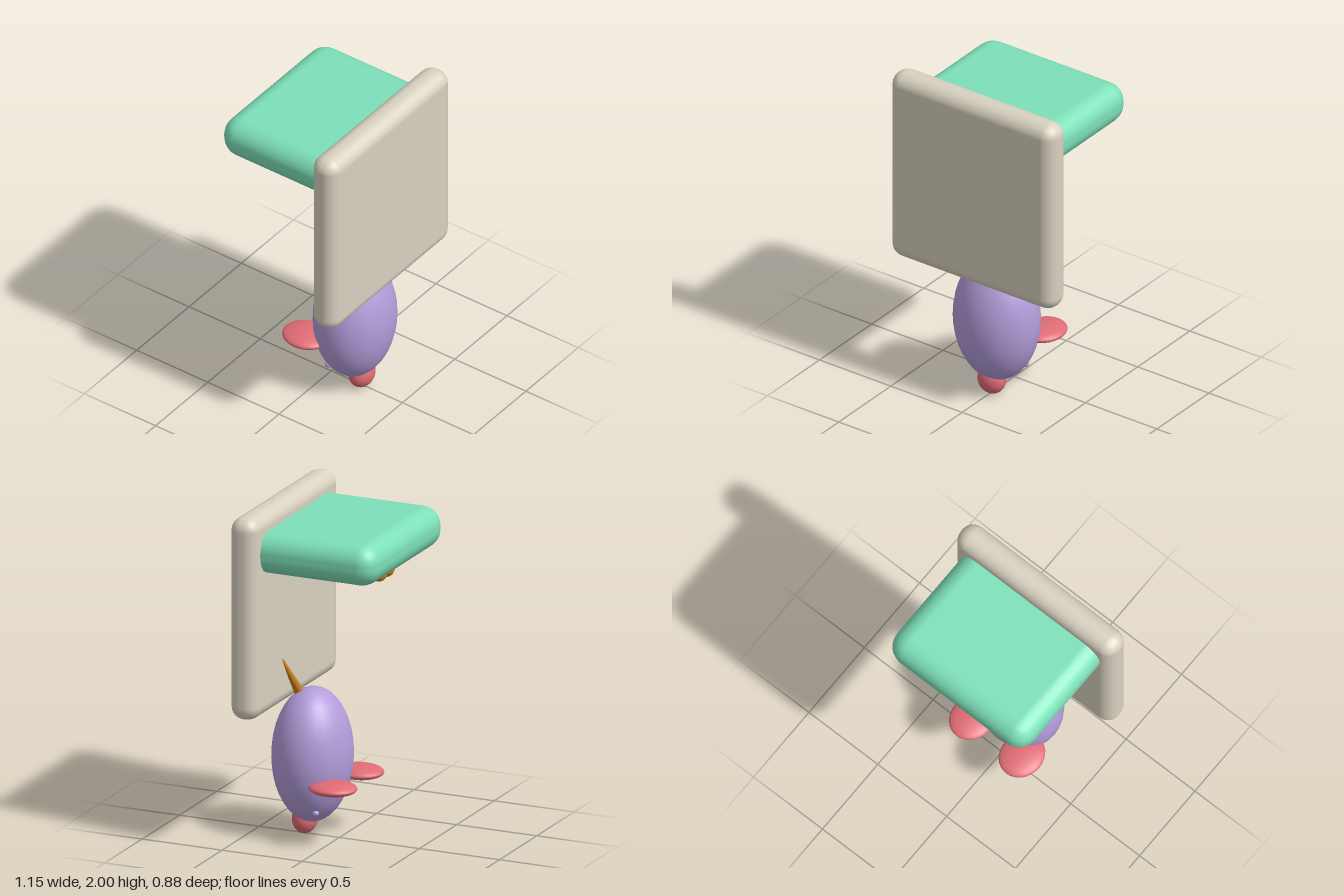
import * as THREE from 'three';
import { RoundedBoxGeometry } from 'three/addons/geometries/RoundedBoxGeometry.js';

function material(name, color) {
  const m = new THREE.MeshStandardMaterial({ color });
  m.name = name;
  return m;
}

export function createModel() {
  const model = new THREE.Group();
  model.name = 'model';

  const cream = material('cream', 0xd9d2c1);
  const mint = material('mint green', 0x7de0b9);
  const lilac = material('lilac', 0xb39ddb);
  const pink = material('pink', 0xe06c75);
  const orange = material('orange', 0xd08420);

  function add(name, geometry, mat, x, y, z) {
    const mesh = new THREE.Mesh(geometry, mat);
    mesh.name = name;
    mesh.position.set(x, y, z);
    model.add(mesh);
    return mesh;
  }

  function ellipsoid(name, mat, [x, y, z], [rx, ry, rz]) {
    const geometry = new THREE.SphereGeometry(1, 32, 20).scale(rx, ry, rz);
    return add(name, geometry, mat, x, y, z);
  }

  // Upright panel and the cushion set into its back
  add('panel', new RoundedBoxGeometry(1.15, 1.2, 0.175, 3, 0.08), cream, 0, 1.4, 0.348);
  add('cushion', new RoundedBoxGeometry(1, 0.245, 0.83, 3, 0.112), mint, 0, 1.778, -0.025);

  // Hanging mouse: body, nose, ears and eyes
  ellipsoid('body', lilac, [0, 0.479, 0.167], [0.261, 0.396, 0.229]);
  ellipsoid('nose', pink, [0, 0.095, 0.215], [0.088, 0.092, 0.072]);
  for (const [side, s] of [['left', 1], ['right', -1]]) {
    ellipsoid(side + 'Ear', pink, [s * 0.18, 0.352, -0.043], [0.125, 0.038, 0.143]);
    ellipsoid(side + 'Eye', lilac, [s * 0.14, 0.175, 0.083], [0.02, 0.018, 0.02]);
  }

  // Tapered tail leaning against the panel
  const tailBase = new THREE.Vector3(-0.01, 0.8, 0.235);
  const tailTip = new THREE.Vector3(0.235, 1.13, 0.275);
  const tailLine = tailTip.clone().sub(tailBase);
  const tailMiddle = tailBase.clone().add(tailTip).multiplyScalar(0.5);
  const tail = add('tail', new THREE.CylinderGeometry(0.006, 0.032, tailLine.length(), 16),
    orange, tailMiddle.x, tailMiddle.y, tailMiddle.z);
  tail.quaternion.setFromUnitVectors(new THREE.Vector3(0, 1, 0), tailLine.normalize());

  // Paw under the cushion: one pad and four toes
  ellipsoid('pawPad', orange, [0, 1.628, -0.085], [0.11, 0.083, 0.083]);
  for (const s of [1, -1]) {
    ellipsoid('outerToe', orange, [s * 0.125, 1.62, -0.19], [0.05, 0.05, 0.05]);
    ellipsoid('innerToe', orange, [s * 0.05, 1.62, -0.27], [0.047, 0.047, 0.047]);
  }

  return model;
}
